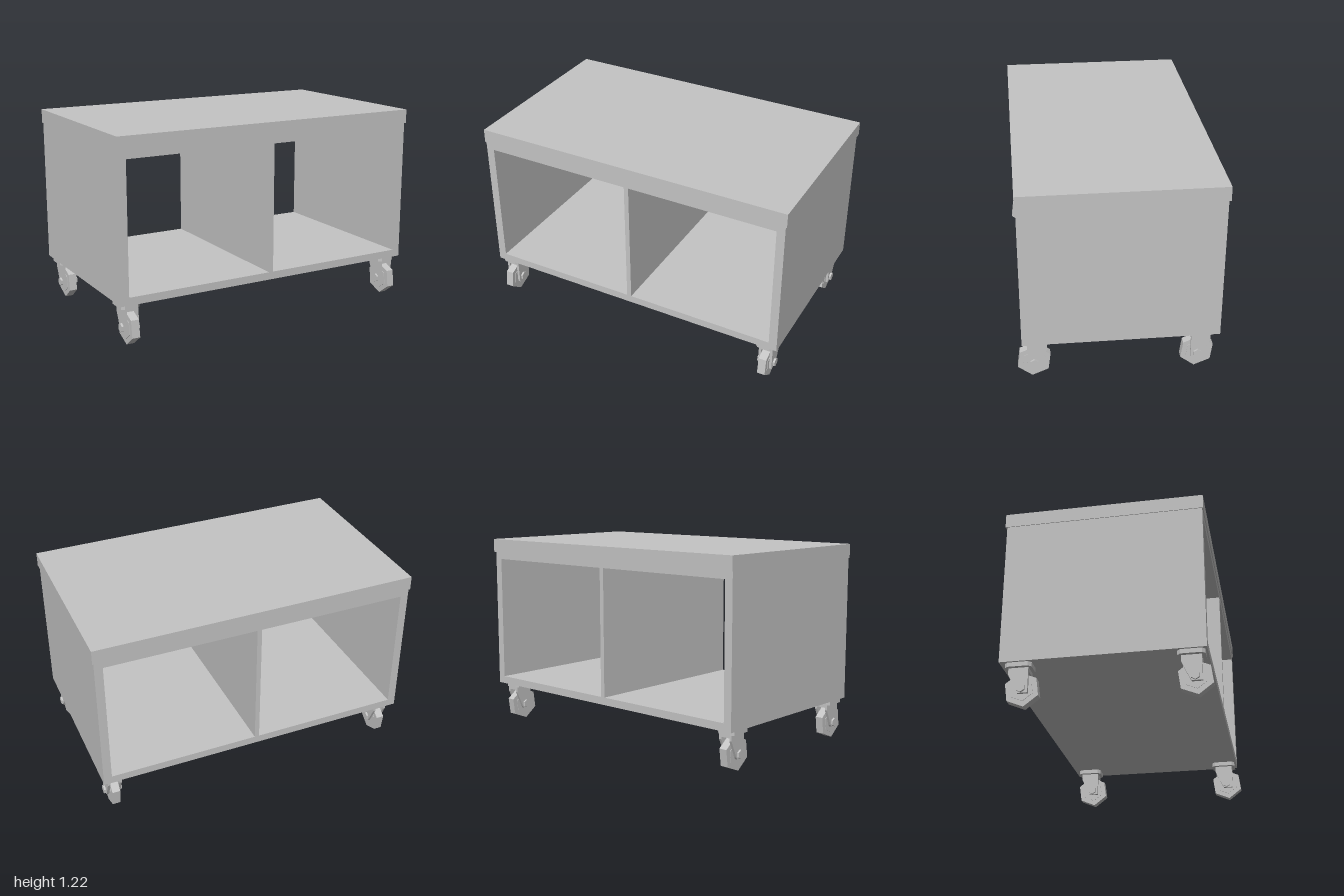
import * as THREE from 'three';

const grey = new THREE.MeshStandardMaterial({ color: 0xc4c4c4, flatShading: true });
grey.name = 'light grey';

function add(parent, name, geometry, x = 0, y = 0, z = 0) {
  const mesh = new THREE.Mesh(geometry, grey);
  mesh.name = name;
  mesh.position.set(x, y, z);
  parent.add(mesh);
  return mesh;
}

const outline = (points) => new THREE.Shape(points.map(([a, b]) => new THREE.Vector2(a, b)));
const rect = (x0, y0, x1, y1) => [[x0, y0], [x1, y0], [x1, y1], [x0, y1]];
const hexagon = (radius, turn) => Array.from({ length: 6 }, (_, i) => {
  const a = turn + (i * Math.PI) / 3;
  return [radius * Math.cos(a), radius * Math.sin(a)];
});

// Extrudes a (z, y) profile along x, centred on x = 0
function sideProfile(points, width) {
  const geometry = new THREE.ExtrudeGeometry(outline(points), { depth: width, bevelEnabled: false });
  return geometry.translate(0, 0, -width / 2).rotateY(-Math.PI / 2);
}

// Caster with its wheel axle at the local origin
function createCaster() {
  const caster = new THREE.Group();
  caster.name = 'caster';

  // Mounting plate with clipped corners
  const w = 0.0575, d = 0.0765, c = 0.018;
  const plate = new THREE.ExtrudeGeometry(outline([
    [-w + c, -d], [w - c, -d], [w, -d + c], [w, d - c],
    [w - c, d], [-w + c, d], [-w, d - c], [-w, -d + c],
  ]), { depth: 0.028, bevelEnabled: false }).rotateX(-Math.PI / 2);
  add(caster, 'mountingPlate', plate, -0.008, 0.124, -0.018);

  // Fork: crown and two tapered cheeks
  add(caster, 'forkCrown', new THREE.BoxGeometry(0.088, 0.022, 0.114), 0, 0.113, -0.018);
  const cheek = [
    [0.039, -0.028], [0.039, 0.124], [-0.075, 0.124],
    [-0.075, 0.087], [-0.029, -0.015], [-0.02, -0.028],
  ].reverse();
  for (const side of [-1, 1]) {
    add(caster, 'forkCheek', sideProfile(cheek, 0.016), side * 0.036);
  }

  // Six-sided wheel, hub and axle bolt
  const turn = THREE.MathUtils.degToRad(-82.5);
  add(caster, 'wheel', sideProfile(hexagon(0.1035, turn), 0.049));
  add(caster, 'hub', sideProfile(hexagon(0.07, turn), 0.055));
  add(caster, 'axleBolt', sideProfile(hexagon(0.027, Math.PI / 6), 0.112));
  return caster;
}

export function createModel() {
  const cart = new THREE.Group();
  cart.name = 'rollingCart';

  // Tabletop
  add(cart, 'tabletop', new THREE.BoxGeometry(2, 0.086, 1.17), 0, 1.177, -0.009);

  // Open-ended cabinet frame
  const frame = outline(rect(-0.996, 0.253, 0.991, 1.134));
  frame.holes.push(new THREE.Path(rect(-0.945, 0.3, 0.94, 1.09)
    .reverse().map(([x, y]) => new THREE.Vector2(x, y))));
  add(cart, 'cabinetFrame',
    new THREE.ExtrudeGeometry(frame, { depth: 1.154, bevelEnabled: false }), 0, 0, -0.584);

  // Central divider
  add(cart, 'divider', new THREE.BoxGeometry(0.029, 0.79, 1.154), -0.003, 0.695, -0.007);

  // Four casters, all facing the same way
  for (const x of [-0.919, 0.913]) {
    for (const z of [0.5, -0.461]) {
      const caster = createCaster();
      caster.position.set(x, 0.103, z);
      cart.add(caster);
    }
  }
  return cart;
}
